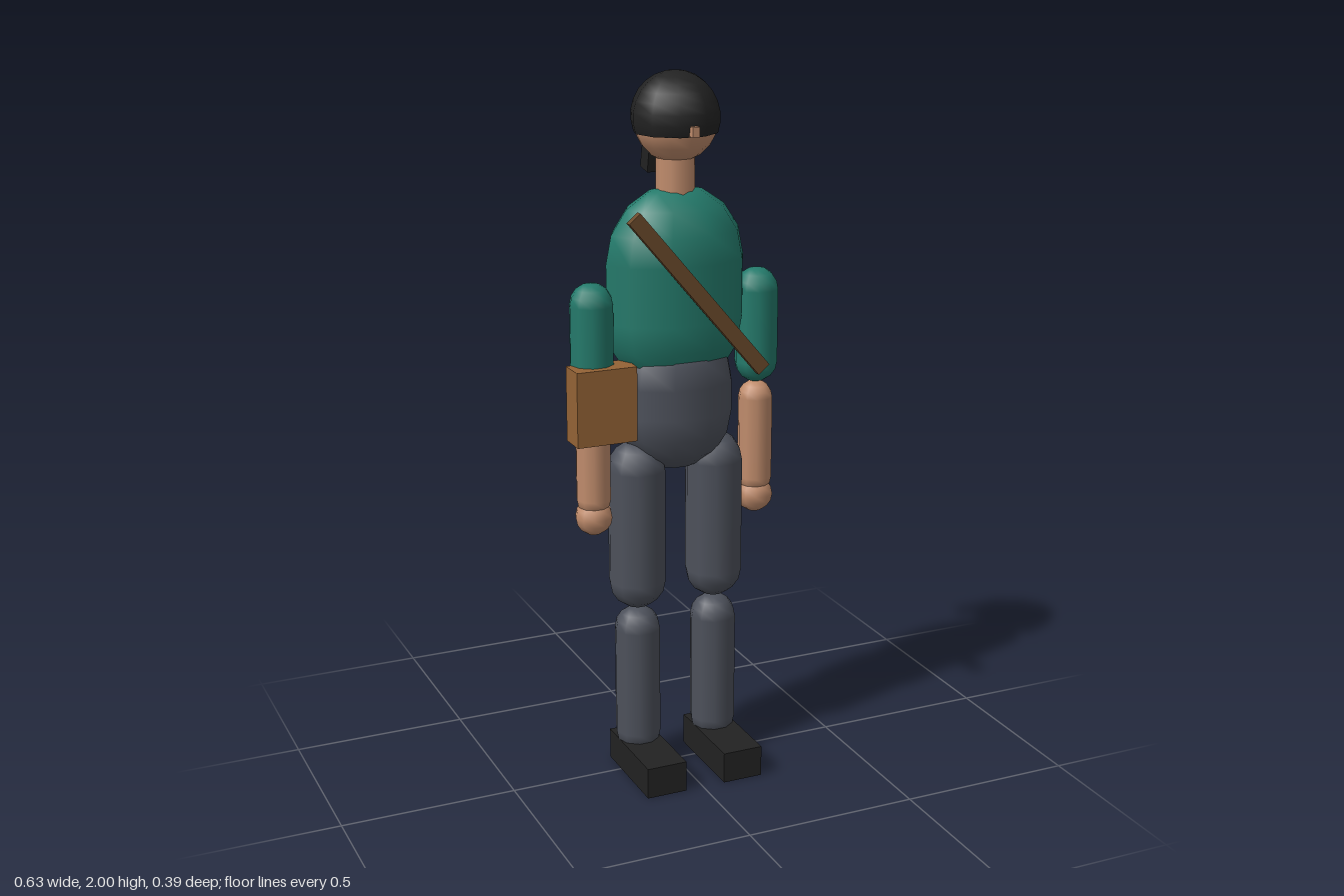
import * as THREE from 'three';

const material = (name, color) => {
  const m = new THREE.MeshStandardMaterial({ color });
  m.name = name;
  return m;
};

export function createModel() {
  const black = material('black', 0x222222);
  const skin = material('skin', 0xc08c6c);
  const teal = material('teal', 0x247a6b);
  const grey = material('slate grey', 0x4d515b);
  const tan = material('tan leather', 0x946336);
  const brown = material('brown leather', 0x6b4a2b);
  black.side = THREE.DoubleSide; // the hair cap is open underneath

  const model = new THREE.Group();
  model.name = 'figure';
  // the body's own axis sits slightly off the centre of the whole
  const body = new THREE.Group();
  body.name = 'body';
  body.position.set(0.006, 0, -0.013);
  model.add(body);

  const add = (name, geometry, mat, x, y, z, parent = body) => {
    const mesh = new THREE.Mesh(geometry, mat);
    mesh.name = name;
    mesh.position.set(x, y, z);
    parent.add(mesh);
    return mesh;
  };
  // upright capsule given by its lowest and highest points
  const capsule = (name, mat, x, bottom, top, r, depth = 1) => {
    const g = new THREE.CapsuleGeometry(r, top - bottom - 2 * r, 4, 10);
    g.scale(1, 1, depth);
    return add(name, g, mat, x, (bottom + top) / 2, 0);
  };

  // trunk
  capsule('torso', teal, 0, 1.127, 1.696, 0.2035, 0.645);
  capsule('hips', grey, 0, 0.897, 1.32, 0.17, 0.735);
  add('neck', new THREE.CylinderGeometry(0.053, 0.053, 0.14, 10), skin, 0, 1.72, 0);

  // head
  const head = new THREE.SphereGeometry(0.115, 12, 10);
  add('head', head, skin, 0, 1.87, 0);
  const hair = new THREE.SphereGeometry(0.122, 10, 8, 0, Math.PI * 2, 0, Math.PI * 0.61);
  hair.scale(1, 1, 1.03);
  add('hair', hair, black, 0, 1.878, 0);
  add('nose', new THREE.BoxGeometry(0.02, 0.027, 0.04), skin, 0, 1.853, 0.115);
  const tail = add('ponytail', new THREE.BoxGeometry(0.051, 0.19, 0.05), black, 0, 1.806, -0.137);
  tail.rotation.x = 0.21;

  // limbs
  for (const [side, s] of [['left', 1], ['right', -1]]) {
    capsule(side + 'UpperArm', teal, s * 0.247, 1.12, 1.448, 0.061);
    capsule(side + 'Forearm', skin, s * 0.247, 0.79, 1.123, 0.049);
    add(side + 'Hand', new THREE.SphereGeometry(0.053, 10, 8), skin, s * 0.247, 0.786, 0);
    capsule(side + 'Thigh', grey, s * 0.118, 0.497, 0.99, 0.082);
    capsule(side + 'Shin', grey, s * 0.118, 0.05, 0.497, 0.066);
    add(side + 'Shoe', new THREE.BoxGeometry(0.118, 0.09, 0.282), black, s * 0.118, 0.045, 0.07);
  }

  // shoulder bag and its strap across the chest
  add('bag', new THREE.BoxGeometry(0.174, 0.21, 0.082), tan, -0.229, 1.12, 0.027, model);
  const strap = add('strap', new THREE.BoxGeometry(0.041, 0.585, 0.021), brown, 0.0125, 1.42, 0.133, model);
  strap.rotation.z = 0.705;

  return model;
}
